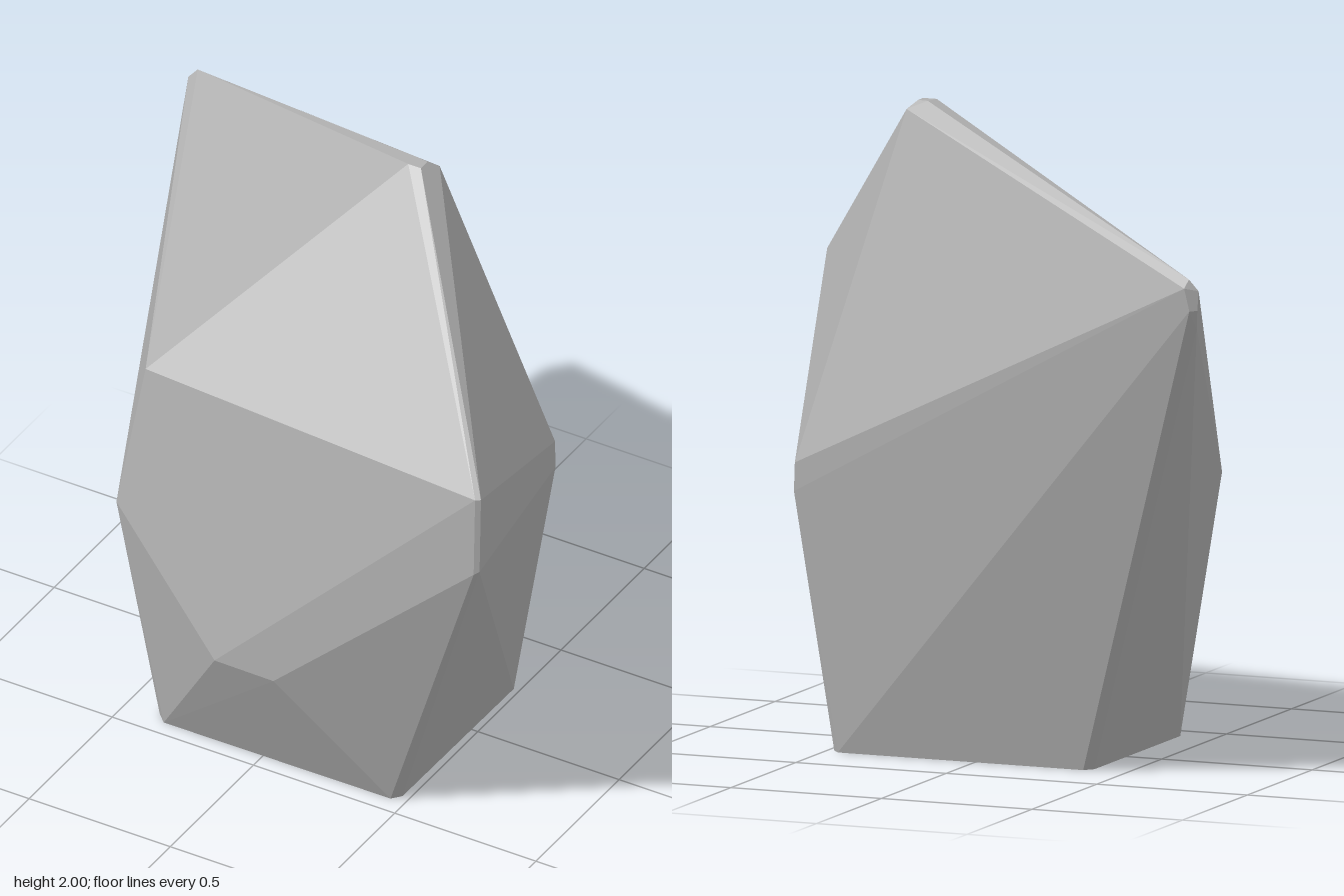
import * as THREE from 'three';
import { ConvexGeometry } from 'three/addons/geometries/ConvexGeometry.js';

// Faceted boulder: a convex hull over its corners, with worn corners given as small clusters
export function createModel() {
  const stone = new THREE.MeshStandardMaterial({ color: 0xb0b0b0 });
  stone.name = 'stoneGrey';

  const corners = [
    // flat base with chipped corners
    [0.48, 0, -0.25], [0.455, 0, -0.28], [0.475, 0, 0.41], [0.45, 0, 0.44],
    [-0.35, 0, 0.445], [-0.385, 0, 0.41], [-0.385, 0, -0.25], [-0.36, 0, -0.28],
    // blunt peak
    [0.23, 2, -0.04], [0.275, 2, -0.04], [0.275, 2, -0.08], [0.24, 2, -0.085], [0.3, 1.975, -0.11],
    // rear left tip
    [-0.86, 1.605, -0.625], [-0.89, 1.57, -0.62], [-0.855, 1.58, -0.65],
    [-0.89, 1.51, -0.63], [-0.87, 1.51, -0.645], [-0.88, 1.45, -0.61],
    // front right edge
    [0.885, 1.39, 0.635], [0.87, 1.39, 0.645], [0.88, 1.12, 0.635], [0.865, 1.11, 0.645],
    // rear right corner
    [0.57, 0.9, -0.345], [0.575, 0.81, -0.34],
    // front left and lower front corners
    [-0.42, 1.29, 0.435], [-0.485, 0.81, 0.5], [-0.06, 0.45, 0.632], [0.15, 0.45, 0.635],
  ].map(p => new THREE.Vector3(...p));

  const boulder = new THREE.Mesh(new ConvexGeometry(corners), stone);
  boulder.name = 'boulder';

  const group = new THREE.Group();
  group.name = 'rock';
  group.add(boulder);
  return group;
}
